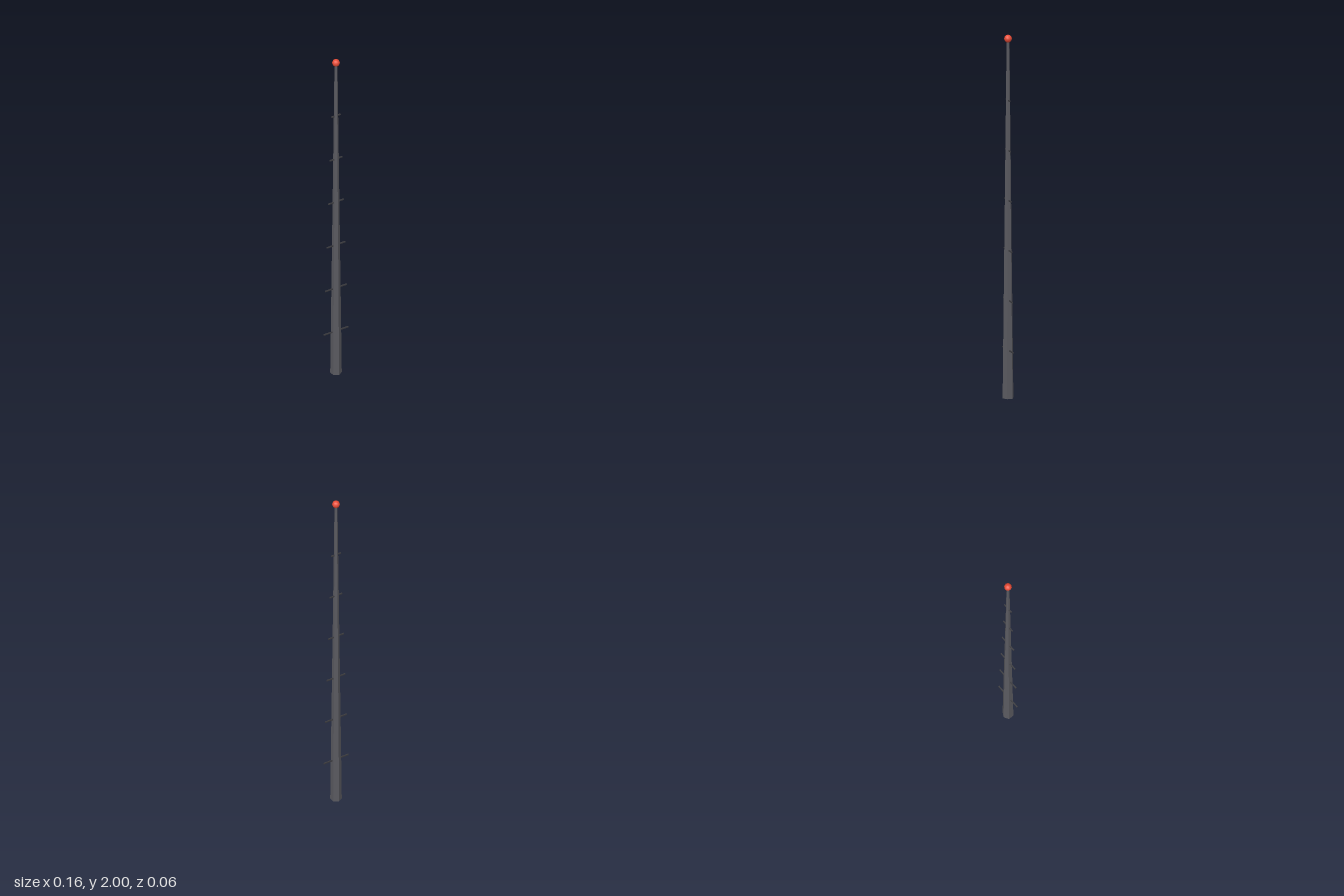
import * as THREE from 'three';

export function createModel() {
  const group = new THREE.Group();
  const add = (name, geometry, material, y) => {
    const mesh = new THREE.Mesh(geometry, material);
    mesh.name = name;
    mesh.position.y = y;
    group.add(mesh);
  };

  const steel = new THREE.MeshStandardMaterial({ color: 0x5a5a60, flatShading: true });
  const darkSteel = new THREE.MeshStandardMaterial({ color: 0x3a3a3e, flatShading: true });
  const red = new THREE.MeshStandardMaterial({ color: 0xe84a35 });

  // Tapered six-sided mast
  const mastHeight = 1.975;
  add('mast', new THREE.CylinderGeometry(0.008, 0.031, mastHeight, 6), steel, mastHeight / 2);

  // Cross rungs, shorter towards the top
  for (let i = 0; i < 6; i++) {
    const length = 0.156 - i * 0.0195;
    add(`rung${i + 1}`, new THREE.BoxGeometry(length, 0.006, 0.007), darkSteel, 0.265 + i * 0.275);
  }

  // Warning light at the tip
  add('beacon', new THREE.SphereGeometry(0.021, 10, 8), red, 1.979);

  return group;
}
